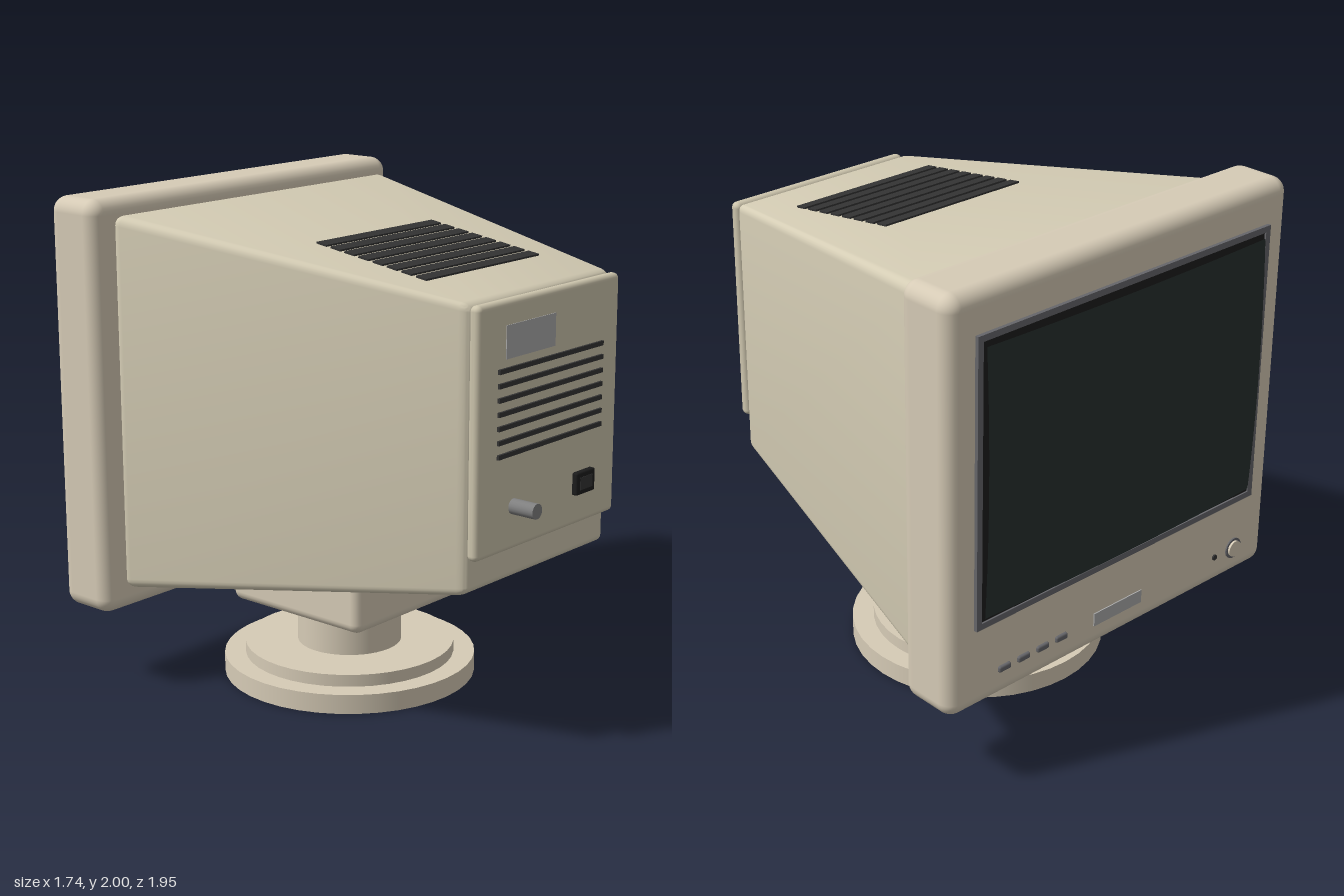
import * as THREE from 'three';
import { RoundedBoxGeometry } from 'three/addons/geometries/RoundedBoxGeometry.js';
import { toCreasedNormals } from 'three/addons/utils/BufferGeometryUtils.js';

const mat = (color, side = THREE.FrontSide) => new THREE.MeshStandardMaterial({ color, side });

export function createModel() {
  const root = new THREE.Group();
  const beige = mat(0xd6cbb6), shellBeige = mat(0xd4ccb4), panelBeige = mat(0xcdc5ad);
  const dark = mat(0x333333), black = mat(0x1c1c1c), grey = mat(0x808080);
  const label = mat(0xaaaaaa), trim = mat(0x66666a);

  const add = (name, geo, material, x, y, z, parent = root) => {
    const m = new THREE.Mesh(geo, material);
    m.name = name;
    m.position.set(x, y, z);
    parent.add(m);
    return m;
  };
  const group = (name) => {
    const g = new THREE.Group();
    g.name = name;
    root.add(g);
    return g;
  };
  const box = (w, h, d) => new THREE.BoxGeometry(w, h, d);
  const disc = (r, h, n = 40) => new THREE.CylinderGeometry(r, r, h, n);
  const rod = (r, h, n = 20) => disc(r, h, n).rotateX(Math.PI / 2);

  // Stand
  const standZ = -0.133;
  add('baseDisc', disc(0.52, 0.08), beige, 0, 0.04, standZ);
  add('turntable', disc(0.433, 0.05), beige, 0, 0.105, standZ);
  add('neck', disc(0.215, 0.2), beige, 0, 0.23, standZ);
  add('swivelBlock', new RoundedBoxGeometry(0.69, 0.27, 0.69, 3, 0.04), beige, 0, 0.445, standZ);

  // Tapered tube housing
  const shell = new RoundedBoxGeometry(1.58, 1.51, 1.47, 3, 0.04);
  const p = shell.attributes.position;
  for (let i = 0; i < p.count; i++) {
    const t = p.getZ(i) / 1.47 + 0.5;
    p.setX(i, p.getX(i) * (1 - 0.443 * t));
    p.setY(i, p.getY(i) * (1 - 0.281 * t));
  }
  add('housing', toCreasedNormals(shell, 0.5), shellBeige, 0, 1.188, 0.085);

  // Vents along the sloping top
  const slope = 0.144;
  const topVents = group('topVents');
  for (let i = 0; i < 8; i++) {
    const z = 0.035 + i * 0.08 * 0.87;
    const slot = add('topVent', box(0.69, 0.01, 0.05), dark, 0, 1.945 - (z + 0.65) * slope, z, topVents);
    slot.rotation.x = Math.atan(slope);
  }

  // Connection panel
  add('backPanel', new RoundedBoxGeometry(0.88, 0.95, 0.05, 3, 0.022), panelBeige, 0, 1.255, 0.84);
  add('ratingPlate', box(0.3, 0.125, 0.006), label, -0.13, 1.577, 0.865);
  const backVents = group('backVents');
  for (let i = 0; i < 7; i++) {
    add('backVent', box(0.65, 0.018, 0.014), dark, 0, 1.157 + i * 0.053, 0.868, backVents);
  }
  add('videoPlug', rod(0.03, 0.115), grey, -0.22, 0.95, 0.9175);
  add('powerSocket', new RoundedBoxGeometry(0.12, 0.09, 0.03, 2, 0.008), black, 0.215, 0.95, 0.873);
  add('powerInlet', box(0.08, 0.05, 0.004), dark, 0.215, 0.95, 0.888);

  // Bezel
  add('bezel', new RoundedBoxGeometry(1.74, 1.67, 0.26, 4, 0.06), beige, 0, 1.165, -0.79);

  // Screen surround
  const screenY = 1.26;
  const rect = (s, w, h) => s.moveTo(-w, -h).lineTo(w, -h).lineTo(w, h).lineTo(-w, h).closePath();
  const ring = rect(new THREE.Shape(), 0.75, 0.58);
  ring.holes.push(rect(new THREE.Path(), 0.725, 0.555));
  add('screenFrame', new THREE.ExtrudeGeometry(ring, { depth: 0.025, bevelEnabled: false }),
    trim, 0, screenY, -0.935);
  add('screenRecess', box(1.46, 1.12, 0.02), black, 0, screenY, -0.918);

  // Bulging glass
  const glass = new THREE.PlaneGeometry(1.43, 1.07, 24, 20).rotateY(Math.PI);
  const g = glass.attributes.position;
  for (let i = 0; i < g.count; i++) {
    const u = g.getX(i) / 0.715, v = g.getY(i) / 0.535;
    g.setZ(i, -0.015 * (1 - u * u) - 0.015 * (1 - v * v));
  }
  glass.computeVertexNormals();
  add('screenGlass', glass, mat(0x27302e, THREE.DoubleSide), 0, screenY, -0.941);

  // Controls below the screen
  const rowY = 0.46;
  const buttons = group('buttons');
  for (let i = 0; i < 4; i++) {
    add('button', new RoundedBoxGeometry(0.06, 0.026, 0.024, 2, 0.008), trim, 0.6 - i * 0.098, rowY, -0.92, buttons);
  }
  add('namePlate', box(0.26, 0.055, 0.008), label, 0, rowY, -0.921);
  add('indicatorLight', rod(0.012, 0.012, 12), dark, -0.56, rowY, -0.921);
  add('powerButtonRing', rod(0.044, 0.012, 24), trim, -0.672, rowY, -0.92);
  add('powerButton', rod(0.034, 0.03, 24), beige, -0.672, rowY, -0.92);

  return root;
}
